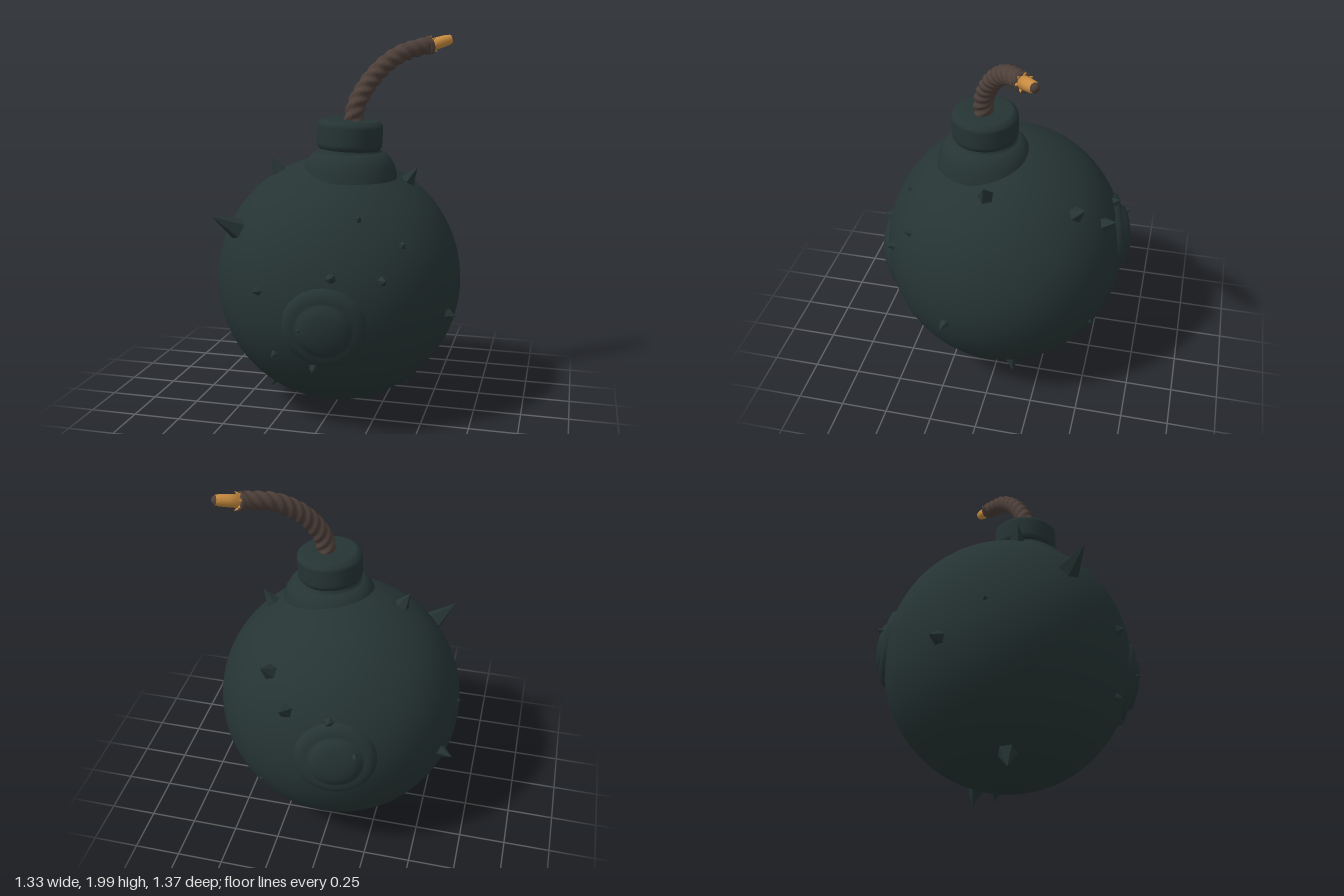
import * as THREE from 'three';

const CENTRE = new THREE.Vector3(0, 0.71, 0);
const UP = new THREE.Vector3(0, 1, 0);
const iron = new THREE.MeshStandardMaterial({ color: 0x263434 });
iron.name = 'dark iron';
const ironFlat = iron;
const cord = new THREE.MeshStandardMaterial({ color: 0x4d3f39 });
cord.name = 'brown cord';
const ember = new THREE.MeshStandardMaterial({ color: 0xc98c40 });
ember.name = 'amber tip';

function add(group, name, geometry, material) {
  const mesh = new THREE.Mesh(geometry, material);
  mesh.name = name;
  group.add(mesh);
  return mesh;
}

const lathe = (pts, sides) =>
  new THREE.LatheGeometry(pts.map(([r, y]) => new THREE.Vector2(r, y)), sides);

// Faceted pyramid standing on the shell, with its tip at the given point
function addSpike(group, x, y, z, r, sides = 5) {
  const tip = new THREE.Vector3(x, y, z).sub(CENTRE);
  const base = 0.61, h = tip.length() - base;
  const geometry = new THREE.ConeGeometry(r, h, sides, 1, true).toNonIndexed();
  geometry.computeVertexNormals();
  const dir = tip.clone().normalize();
  const spike = add(group, 'spike', geometry, ironFlat);
  spike.position.copy(CENTRE).addScaledVector(dir, base + h / 2);
  spike.quaternion.setFromUnitVectors(UP, dir);
}

// Low round plate with a rim and a domed middle
function addBoss(group, name, x, y, z) {
  const dir = new THREE.Vector3(x, y, z).sub(CENTRE).normalize();
  const boss = add(group, name, lathe([
    [0.225, -0.07], [0.21, -0.03], [0.195, -0.008], [0.17, 0.003], [0.15, 0.005],
    [0.135, 0.008], [0.12, 0.027], [0.09, 0.037], [0.05, 0.044], [0, 0.046],
  ], 40), iron);
  boss.position.copy(CENTRE).addScaledVector(dir, 0.643);
  boss.quaternion.setFromUnitVectors(UP, dir);
}

export function createModel() {
  const model = new THREE.Group();
  model.name = 'spikedBomb';

  // Round shell
  const shell = add(model, 'shell', new THREE.SphereGeometry(0.655, 64, 48), iron);
  shell.position.copy(CENTRE);
  shell.scale.set(1, 1.012, 0.985);

  addBoss(model, 'frontBoss', 0.08, 0.6, 0.64);
  addBoss(model, 'backBoss', -0.12, 0.8, -0.64);

  // Neck: spreading collar, groove and thick bevelled cap
  const neck = new THREE.Group();
  neck.name = 'neck';
  neck.position.set(0.08, 0, 0.09);
  model.add(neck);
  add(neck, 'collar', lathe([
    [0.25, 1.27], [0.235, 1.335], [0.215, 1.37], [0.195, 1.395], [0.175, 1.405], [0.155, 1.41], [0.15, 1.46],
  ], 40), iron);
  const cap = add(neck, 'cap', lathe([
    [0.14, -0.075], [0.158, -0.075], [0.168, -0.06], [0.17, -0.045], [0.17, 0.04],
    [0.167, 0.055], [0.15, 0.07], [0.14, 0.075], [0.07, 0.075], [0, 0.072],
  ], 40), iron);
  cap.position.y = 1.497;
  cap.rotation.z = -0.05;

  // Spikes: tip position, base radius
  const spikes = new THREE.Group();
  spikes.name = 'spikes';
  model.add(spikes);
  [
    // front
    [-0.55, 1.1, 0.45, 0.075], [0.22, 1.14, 0.48, 0.045], [0.44, 1.01, 0.43, 0.045],
    [0.37, 0.85, 0.565, 0.05], [0.12, 0.87, 0.65, 0.055], [-0.28, 0.77, 0.62, 0.05],
    [-0.035, 0.605, 0.69, 0.045], [-0.2, 0.43, 0.59, 0.04], [0.01, 0.37, 0.59, 0.055],
    // sides and shoulders
    [-0.345, 1.365, 0.1, 0.065], [0.425, 1.325, 0.02, 0.065], [0.665, 0.59, 0.2, 0.055],
    [-0.665, 0.62, -0.275, 0.06], [-0.665, 0.8, -0.02, 0.045],
    // back
    [0.3, 1.19, -0.47, 0.065], [0.17, 1.05, -0.615, 0.06], [-0.08, 1.02, -0.61, 0.055],
    [-0.23, 0.86, -0.665, 0.05], [0.32, 0.48, -0.54, 0.03],
    // underside
    [-0.385, 0.06, 0.05, 0.075], [0.135, 0.01, -0.2, 0.07], [0.365, 0.08, -0.12, 0.07],
  ].forEach((s) => addSpike(spikes, ...s));

  // Bent fuse, its round section displaced into three twisted strands
  const path = new THREE.CatmullRomCurve3([
    [0.095, 1.54, 0.095], [0.115, 1.65, 0.085], [0.19, 1.79, 0.025],
    [0.3, 1.895, -0.065], [0.45, 1.95, -0.18],
  ].map((p) => new THREE.Vector3(...p)));
  const rows = 120, sides = 24;
  const rope = new THREE.TubeGeometry(path, rows, 0.043, sides);
  const pos = rope.attributes.position, nor = rope.attributes.normal;
  for (let i = 0; i <= rows; i++) {
    for (let j = 0; j <= sides; j++) {
      const k = i * (sides + 1) + j;
      const a = (j / sides) * Math.PI * 2;
      const d = 0.004 * Math.cos(3 * a + i * 0.6) + 0.006 * (1 - i / rows);
      pos.setXYZ(k, pos.getX(k) + nor.getX(k) * d, pos.getY(k) + nor.getY(k) * d, pos.getZ(k) + nor.getZ(k) * d);
    }
  }
  rope.computeVertexNormals();
  add(model, 'fuseRope', rope, cord);

  // Burning end: dark band, frayed ring, amber rod and charred point
  const end = new THREE.Group();
  end.name = 'fuseEnd';
  end.position.set(0.45, 1.945, -0.18);
  end.quaternion.setFromUnitVectors(UP, new THREE.Vector3(0.11, 0.035, -0.08).normalize());
  model.add(end);
  add(end, 'band', lathe([[0, -0.02], [0.046, -0.02], [0.048, 0], [0.04, 0.006], [0, 0.006]], 20), cord);
  add(end, 'amberRod', lathe([
    [0, 0], [0.033, 0], [0.031, 0.06], [0.029, 0.1], [0.024, 0.122],
  ], 20), ember);
  add(end, 'charredPoint', lathe([[0.024, 0.122], [0.014, 0.134], [0, 0.138]], 20), cord);
  for (let i = 0; i < 7; i++) {
    const a = (i / 7) * Math.PI * 2;
    const fray = add(end, 'fray', new THREE.ConeGeometry(0.014, 0.034, 5), ember);
    fray.position.set(Math.cos(a) * 0.038, 0.008, Math.sin(a) * 0.038);
    fray.rotation.set(Math.sin(a) * 0.6, 0, -Math.cos(a) * 0.6);
  }

  return model;
}
